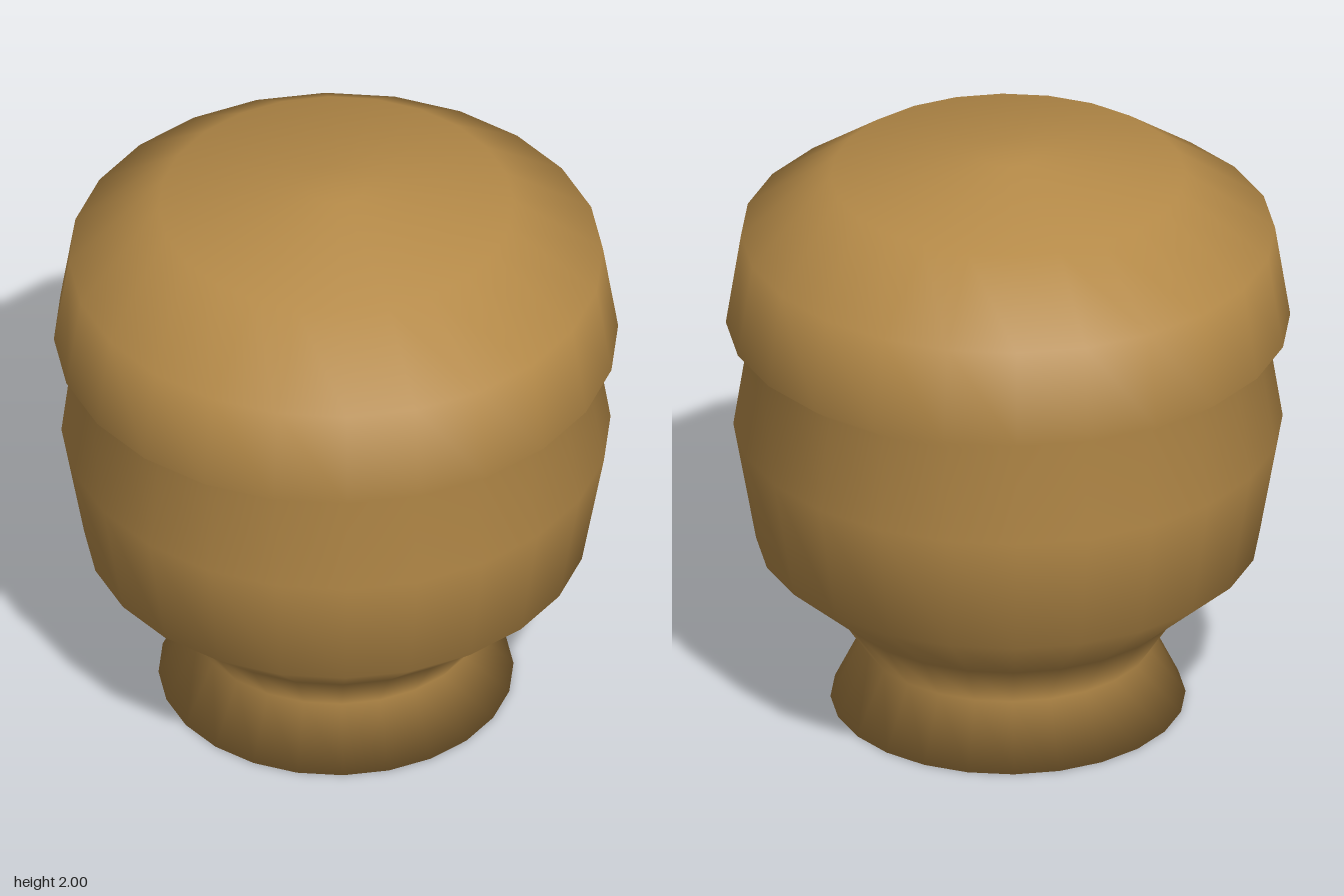
import * as THREE from 'three';

// Outer profile [radius, height], from the middle of the base to the top
const PROFILE = [
  [0, 0], [0.585, 0], [0.48, 0.215], [0.585, 0.375],   // flared foot and neck
  [0.83, 0.59], [0.905, 1.015], [0.855, 1.335],        // rounded bowl
  [0.93, 1.39], [0.88, 1.71], [0.585, 1.92],           // overhanging cap
  [0.1, 2], [0, 2],                                    // shallow crown
];

export function createModel() {
  const group = new THREE.Group();
  group.name = 'turnedKnob';

  const wood = new THREE.MeshStandardMaterial({ color: 0xb58a48 });
  wood.name = 'golden brown';

  // One smooth turned body with 24 sides
  const points = PROFILE.map(([r, y]) => new THREE.Vector2(r, y));
  const body = new THREE.Mesh(new THREE.LatheGeometry(points, 24), wood);
  body.name = 'turnedBody';
  group.add(body);

  return group;
}
